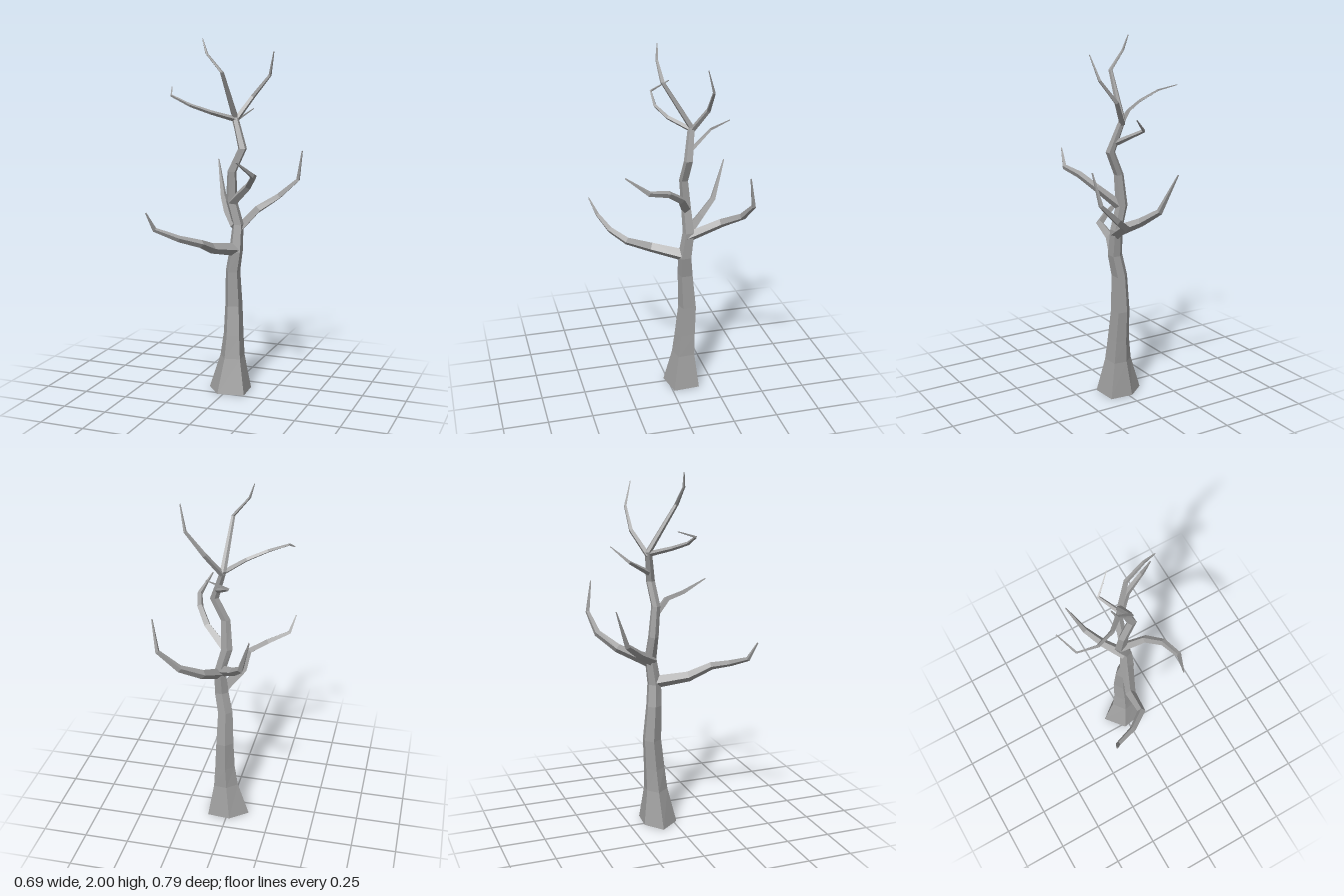
import * as THREE from 'three';

const bark = new THREE.MeshStandardMaterial({ color: 0xa0a0a0, flatShading: true });
bark.name = 'bark grey';

// Skin a list of rings (arrays of Vector3, anticlockwise seen from the tip) and cap both ends.
function skin(name, rings) {
  const pos = [];
  const tri = (...pts) => pts.forEach((p) => pos.push(p.x, p.y, p.z));
  const n = rings[0].length;
  for (let r = 0; r < rings.length - 1; r++) {
    const a = rings[r], b = rings[r + 1];
    for (let i = 0; i < n; i++) {
      const j = (i + 1) % n;
      tri(a[i], a[j], b[j]);
      tri(a[i], b[j], b[i]);
    }
  }
  const first = rings[0], last = rings[rings.length - 1];
  for (let i = 1; i < n - 1; i++) {
    tri(first[0], first[i + 1], first[i]);
    tri(last[0], last[i], last[i + 1]);
  }
  const geo = new THREE.BufferGeometry();
  geo.setAttribute('position', new THREE.Float32BufferAttribute(pos, 3));
  geo.computeVertexNormals();
  const mesh = new THREE.Mesh(geo, bark);
  mesh.name = name;
  return mesh;
}

// Trunk: one uneven pentagon fitted into [y, xMin, xMax, zMin, zMax] at each level.
function trunk() {
  const pentagon = [[0, 0.42], [0.37, 1], [1, 0.85], [0.96, 0.06], [0.42, 0]];
  const levels = [
    [0, -0.12, 0.12, -0.17, 0.02],
    [0.2, -0.055, 0.083, -0.145, -0.025],
    [0.33, -0.038, 0.073, -0.148, -0.04],
    [0.5, -0.033, 0.063, -0.155, -0.06],
    [0.7, -0.025, 0.055, -0.135, -0.055],
    [0.82, 0.0, 0.075, -0.12, -0.05],
    [0.97, 0.012, 0.073, -0.135, -0.075],
    [1.1, -0.025, 0.038, -0.125, -0.075],
    [1.27, -0.01, 0.04, -0.105, -0.06],
    [1.4, 0.05, 0.097, -0.115, -0.07],
    [1.57, 0.002, 0.036, -0.14, -0.105],
    [1.82, -0.01, 0.01, 0.018, 0.042],
    [1.92, -0.09, -0.076, 0.033, 0.047],
    [2, -0.112, -0.107, 0.028, 0.033],
  ];
  return skin('trunk', levels.map(([y, x0, x1, z0, z1]) => pentagon.map(([u, v]) =>
    new THREE.Vector3(x0 + (x1 - x0) * u, y, z0 + (z1 - z0) * v))));
}

// Branch: four-sided tapering limb through [x, y, z, radius] points, ridge upwards.
function branch(name, path) {
  const pts = path.map(([x, y, z]) => new THREE.Vector3(x, y, z));
  const dir = (i) => pts[i + 1].clone().sub(pts[i]).normalize();
  const side = new THREE.Vector3(0, 1, 0).cross(dir(0)).normalize();
  const rings = pts.map((p, i) => {
    const t = new THREE.Vector3();
    if (i > 0) t.add(dir(i - 1));
    if (i < pts.length - 1) t.add(dir(i));
    t.normalize();
    side.addScaledVector(t, -side.dot(t)).normalize();
    const up = t.clone().cross(side);
    return [0, 1, 2, 3].map((k) => p.clone()
      .addScaledVector(side, path[i][3] * Math.cos(k * Math.PI / 2))
      .addScaledVector(up, path[i][3] * Math.sin(k * Math.PI / 2)));
  });
  return skin(name, rings);
}

export function createModel() {
  const tree = new THREE.Group();
  tree.name = 'bareTree';
  tree.add(
    trunk(),
    branch('lowFrontBranch', [
      [0.04, 0.83, -0.08, 0.036], [-0.035, 0.865, 0.09, 0.029], [-0.043, 0.915, 0.225, 0.022],
      [-0.14, 0.95, 0.30, 0.018], [-0.26, 1.0, 0.348, 0.013], [-0.29, 1.095, 0.39, 0.004]]),
    branch('lowBackLeftBranch', [
      [0.045, 0.94, -0.1, 0.03], [0.1, 1.03, -0.28, 0.025], [0.2, 1.1, -0.365, 0.02],
      [0.31, 1.2, -0.387, 0.013], [0.342, 1.37, -0.356, 0.004]]),
    branch('lowBackRightBranch', [
      [0.035, 0.96, -0.1, 0.032], [-0.05, 1.02, -0.2, 0.024], [-0.11, 1.09, -0.29, 0.018],
      [-0.172, 1.3, -0.37, 0.004]]),
    branch('middleFrontBranch', [
      [0.01, 1.09, -0.1, 0.028], [0.13, 1.2, -0.04, 0.021], [0.19, 1.265, 0.045, 0.019],
      [0.22, 1.29, 0.157, 0.015], [0.174, 1.37, 0.274, 0.004]]),
    branch('upperBackBranch', [
      [0.055, 1.45, -0.11, 0.016], [-0.033, 1.53, -0.248, 0.01], [0.06, 1.605, -0.325, 0.003]]),
    branch('upperRightBranch', [
      [0.02, 1.56, -0.115, 0.015], [-0.08, 1.6, -0.02, 0.012], [-0.185, 1.64, 0.026, 0.01],
      [-0.3, 1.69, 0.021, 0.007], [-0.347, 1.73, -0.095, 0.003]]),
    branch('upperLeftBranch', [
      [0.022, 1.55, -0.125, 0.016], [0.1, 1.68, -0.194, 0.013], [0.2, 1.8, -0.192, 0.009],
      [0.235, 1.93, -0.15, 0.003]]),
  );
  return tree;
}
